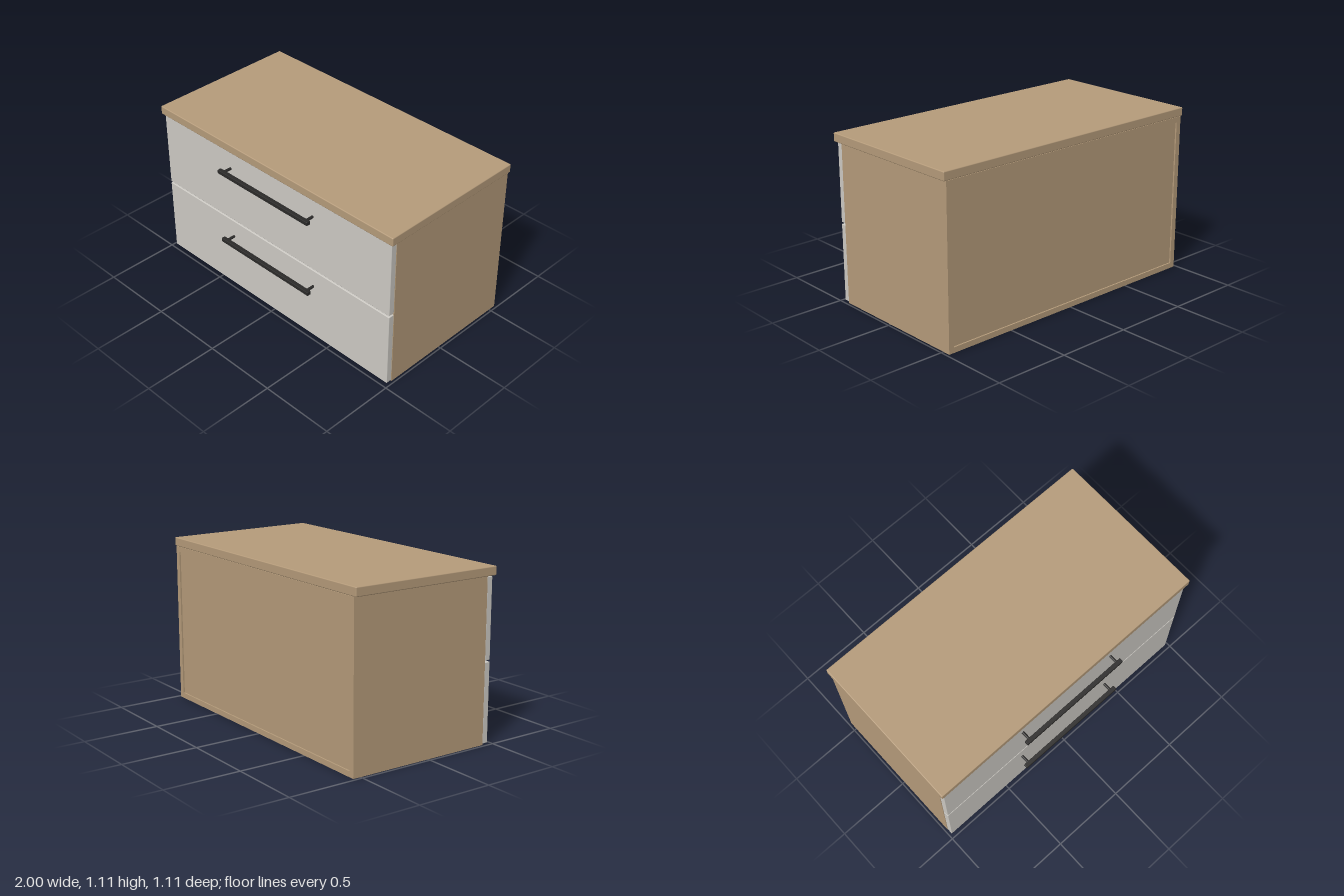
import * as THREE from 'three';
import { RoundedBoxGeometry } from 'three/addons/geometries/RoundedBoxGeometry.js';

const wood = new THREE.MeshStandardMaterial({ color: 0xb59b7a });
const paint = new THREE.MeshStandardMaterial({ color: 0xcdcac4 });
const black = new THREE.MeshStandardMaterial({ color: 0x2b2a29 });

// Box given by its [min, max] range on each axis, with optional eased edges
function board(name, material, [x0, x1], [y0, y1], [z0, z1], radius = 0) {
  const size = [x1 - x0, y1 - y0, z1 - z0];
  const geometry = radius
    ? new RoundedBoxGeometry(...size, 2, radius)
    : new THREE.BoxGeometry(...size);
  const mesh = new THREE.Mesh(geometry, material);
  mesh.name = name;
  mesh.position.set((x0 + x1) / 2, (y0 + y1) / 2, (z0 + z1) / 2);
  return mesh;
}

// Bar handle on two round posts, centred on its own origin at the drawer face
function createHandle() {
  const handle = new THREE.Group();
  handle.name = 'handle';
  handle.add(board('handleBar', black, [-0.392, 0.392], [-0.013, 0.013], [0.052, 0.08], 0.003));
  const postGeometry = new THREE.CylinderGeometry(0.009, 0.009, 0.06, 20).rotateX(Math.PI / 2);
  for (const side of [-1, 1]) {
    const post = new THREE.Mesh(postGeometry, black);
    post.name = side > 0 ? 'leftHandlePost' : 'rightHandlePost';
    post.position.set(side * 0.36, 0, 0.028);
    handle.add(post);
  }
  return handle;
}

export function createModel() {
  const model = new THREE.Group();
  model.name = 'drawerCabinet';

  // Carcass: outer panels around a slightly recessed back
  const half = 0.983, inner = 0.947, height = 1.05, back = -0.553, front = 0.432, t = 0.036;
  const carcass = new THREE.Group();
  carcass.name = 'carcass';
  carcass.add(
    board('leftSide', wood, [inner, half], [0, height], [back, front]),
    board('rightSide', wood, [-half, -inner], [0, height], [back, front]),
    board('bottomPanel', wood, [-inner, inner], [0, t], [back, front]),
    board('upperPanel', wood, [-inner, inner], [height - t, height], [back, front]),
    board('backPanel', wood, [-inner, inner], [t, height - t], [back + 0.01, back + 0.03]),
  );
  model.add(carcass);

  // Overhanging top
  model.add(board('top', wood, [-1, 1], [height, 1.107], [back, 0.488], 0.006));

  // Two drawer fronts, each with its handle
  const face = 0.473;
  [['lowerDrawer', 0.007, 0.398], ['upperDrawer', 0.531, 0.922]].forEach(([name, y, handleY]) => {
    const drawer = new THREE.Group();
    drawer.name = name;
    drawer.add(board('drawerFront', paint, [-0.981, 0.981], [y, y + 0.513], [front, face], 0.004));
    const handle = createHandle();
    handle.position.set(0, handleY, face);
    drawer.add(handle);
    model.add(drawer);
  });

  return model;
}
